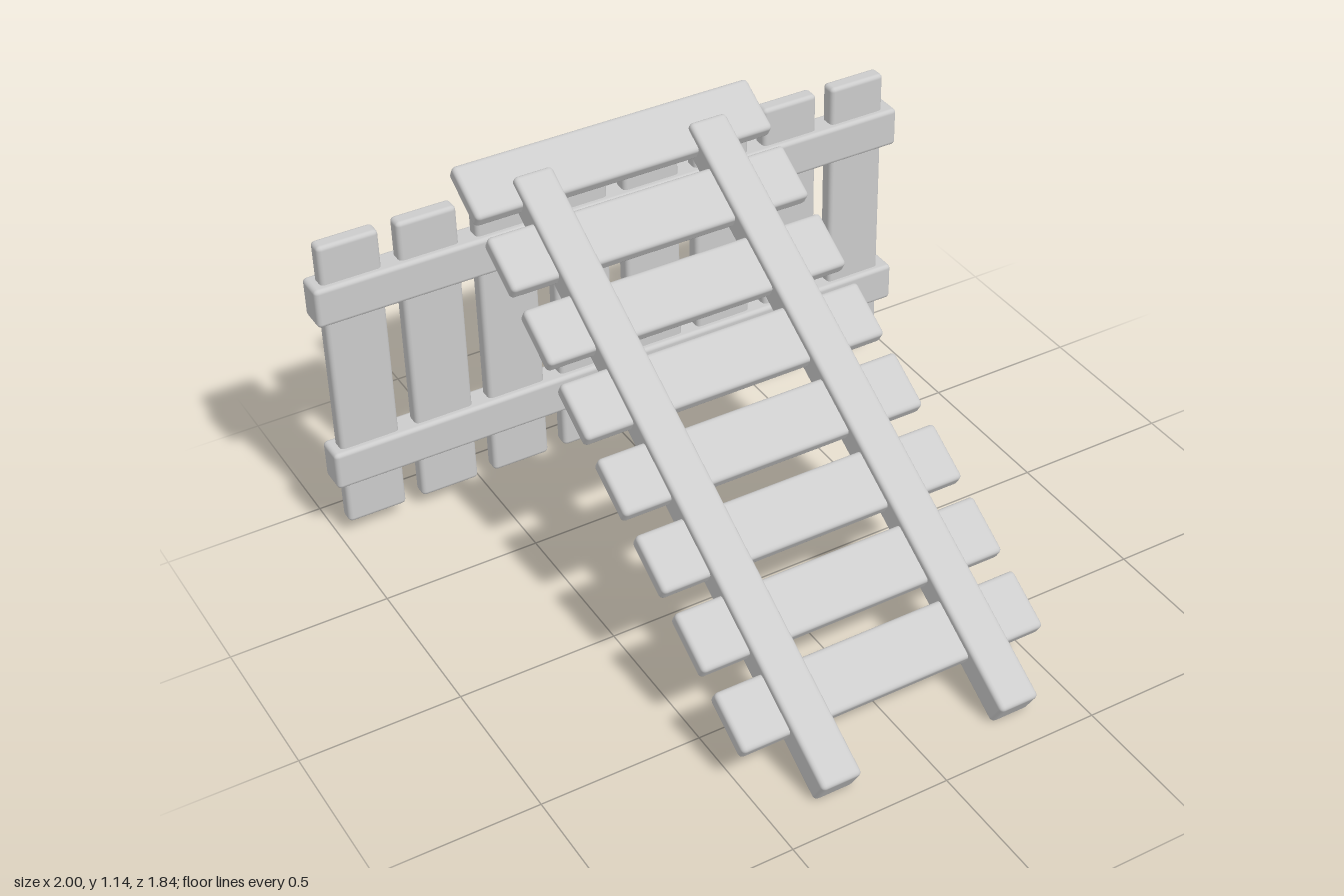
import * as THREE from 'three';
import { RoundedBoxGeometry } from 'three/addons/geometries/RoundedBoxGeometry.js';

const material = new THREE.MeshStandardMaterial({ color: 0xcccccc });

// One softly bevelled wooden board
function board(parent, name, size, position, radius = 0.014) {
  const mesh = new THREE.Mesh(new RoundedBoxGeometry(...size, 2, radius), material);
  mesh.name = name;
  mesh.position.set(...position);
  parent.add(mesh);
  return mesh;
}

// Upright fence: pickets threaded through two horizontal rails
function createFence() {
  const fence = new THREE.Group();
  fence.name = 'fence';
  fence.position.z = -0.85;
  for (let i = 0; i < 8; i++) {
    board(fence, 'fencePicket', [0.192, 1.006, 0.054], [-0.874 + i * 0.248, 0.562, 0]);
  }
  for (const y of [0.278, 0.872]) {
    board(fence, 'fenceRail', [2, 0.13, 0.096], [0, y, 0]);
  }
  return fence;
}

// Sloping ramp: cross planks set through two long beams
function createRamp() {
  const ramp = new THREE.Group();
  ramp.name = 'ramp';
  ramp.position.set(0, 0.562, 0.037);
  ramp.rotation.x = THREE.MathUtils.degToRad(31);
  for (const x of [-0.291, 0.302]) {
    board(ramp, 'rampBeam', [0.128, 0.1, 2.01], [x, 0, 0]);
  }
  for (let i = 0; i < 8; i++) {
    board(ramp, 'rampPlank', [1.005, 0.054, 0.187], [-0.003, 0, 0.728 - i * 0.2485]);
  }
  return ramp;
}

export function createModel() {
  const model = new THREE.Group();
  model.name = 'fenceWithRamp';
  model.add(createFence(), createRamp());
  return model;
}
